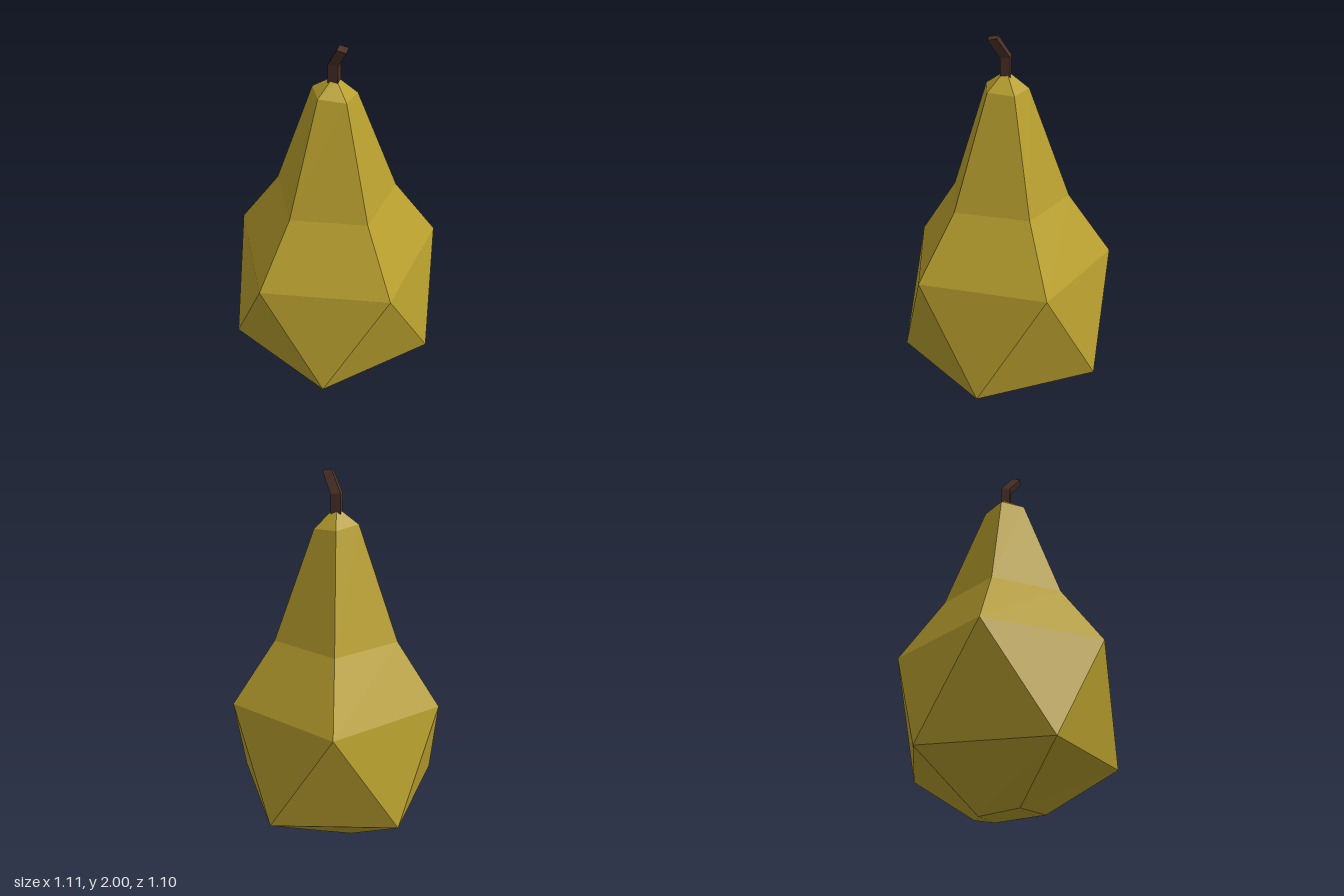
import * as THREE from 'three';

// Joins rings of points, listed from bottom to top, into a closed faceted skin.
function loft(rings, bottom, top) {
  const pos = [];
  const tri = (...pts) => pts.forEach((p) => pos.push(...p));
  const n = rings[0].length;
  const last = rings[rings.length - 1];
  for (let i = 0; i < n; i++) {
    const j = (i + 1) % n;
    for (let k = 0; k < rings.length - 1; k++) {
      const a = rings[k], b = rings[k + 1];
      tri(a[i], b[i], a[j]);
      tri(b[i], b[j], a[j]);
    }
    tri(bottom, rings[0][i], rings[0][j]);
    tri(top, last[j], last[i]);
  }
  const geometry = new THREE.BufferGeometry();
  geometry.setAttribute('position', new THREE.Float32BufferAttribute(pos, 3));
  geometry.computeVertexNormals();
  return geometry;
}

// Five-sided ring; tilt leans it slightly off level.
function ring(radius, y, degrees, tilt = 0) {
  return Array.from({ length: 5 }, (_, i) => {
    const t = THREE.MathUtils.degToRad(degrees + i * 72);
    const x = radius * Math.cos(t), z = radius * Math.sin(t);
    return [x, y + tilt * (z * 0.5 - x), z];
  });
}

// Square stem section; lean drops the corner towards +x +z.
function square(cx, cz, y, half, lean) {
  return [[1, 1], [-1, 1], [-1, -1], [1, -1]].map(([sx, sz]) =>
    [cx + sx * half, y - lean * (sx + sz) / 2, cz + sz * half]);
}

export function createModel() {
  const model = new THREE.Group();
  model.name = 'pear';
  const add = (name, geometry, color) => {
    const material = new THREE.MeshStandardMaterial({ color, flatShading: true });
    const mesh = new THREE.Mesh(geometry, material);
    mesh.name = name;
    model.add(mesh);
  };

  // Fruit: uneven base, twisted belly band, tapering neck
  const base = [
    [0.21, 0.053, 0.03], [0.035, 0.035, 0.19], [-0.15, 0.03, 0.08],
    [-0.11, 0.003, -0.12], [0.075, 0.025, -0.165],
  ];
  add('fruit', loft([
    base,
    ring(0.56, 0.265, 7),
    ring(0.56, 0.825, 43),
    ring(0.33, 1.155, 43),
    ring(0.116, 1.735, 43, 0.1),
    ring(0.026, 1.805, 43),
  ], [0.05, 0.005, -0.06], [0, 1.805, 0]), 0xb89f2e);

  // Stem: square section bent towards the front left
  add('stem', loft([
    square(0, 0, 1.79, 0.025, 0),
    square(0, 0, 1.89, 0.025, 0.005),
    square(0.057, 0.054, 1.992, 0.023, 0.008),
  ], [0, 1.79, 0], [0.057, 1.992, 0.054]), 0x4a3028);

  return model;
}
